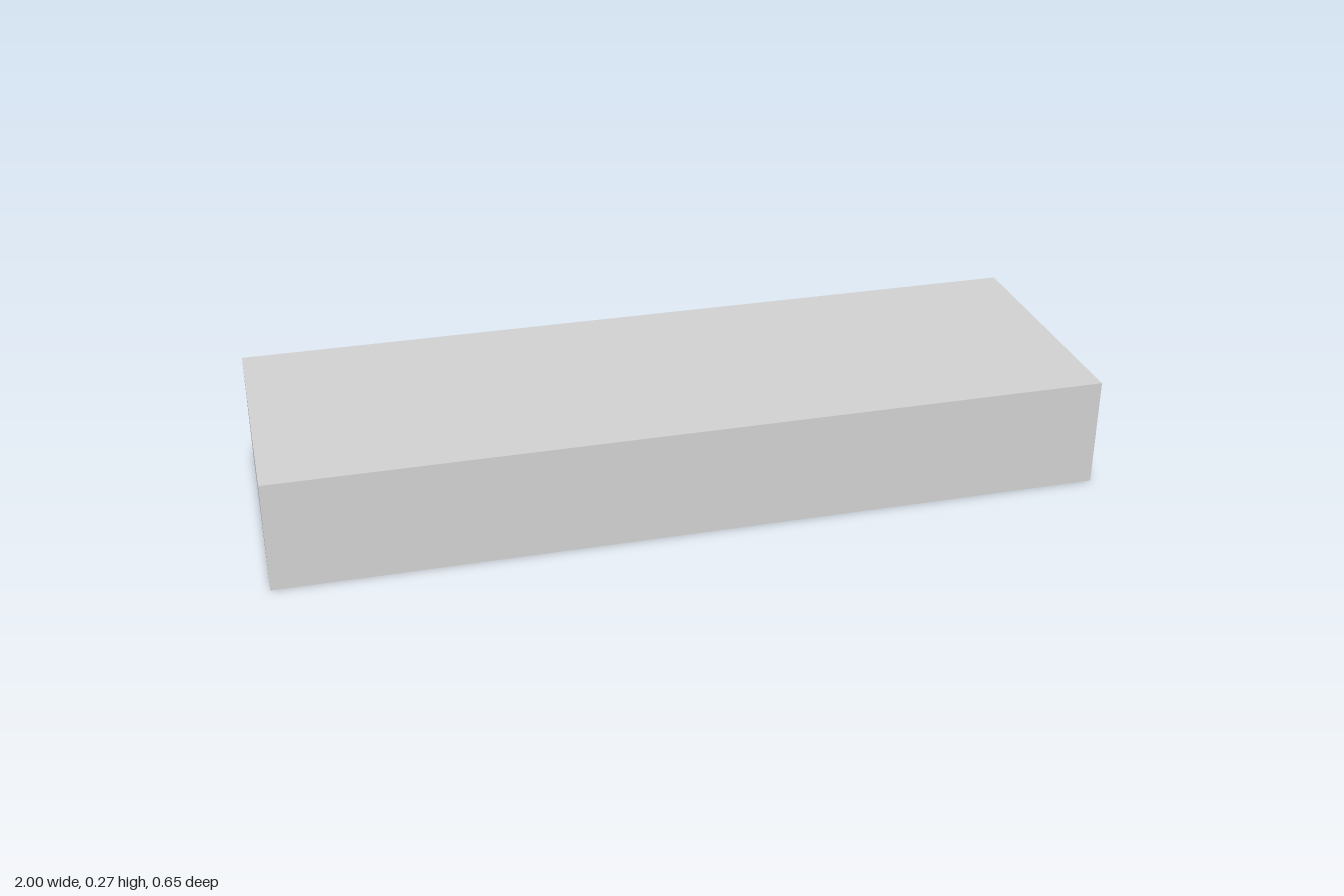
import * as THREE from 'three';

const LENGTH = 2, WIDTH = 0.655, HEIGHT = 0.27;
const WALL = 0.1, CAVITY = 0.182;

// Corners of a rectangle centred on the origin
function rectangle(w, d) {
  const x = w / 2, z = d / 2;
  return [[-x, -z], [x, -z], [x, z], [-x, z]].map(([a, b]) => new THREE.Vector2(a, b));
}

export function createModel() {
  const model = new THREE.Group();
  model.name = 'tile';
  const grey = new THREE.MeshStandardMaterial({ color: 0xd4d4d4 });
  grey.name = 'light grey';

  const add = (name, geometry, x, y) => {
    const mesh = new THREE.Mesh(geometry, grey);
    mesh.name = name;
    mesh.position.set(x, y, 0);
    model.add(mesh);
  };

  // Smooth slab forming the top and the ceiling of the cavity
  const thickness = HEIGHT - CAVITY;
  add('topPlate', new THREE.BoxGeometry(LENGTH, thickness, WIDTH), 0, HEIGHT - thickness / 2);

  // Rim around the open underside
  const outline = new THREE.Shape(rectangle(LENGTH, WIDTH));
  outline.holes.push(new THREE.Path(rectangle(LENGTH - 2 * WALL, WIDTH - 2 * WALL)));
  const rim = new THREE.ExtrudeGeometry(outline, { depth: CAVITY, bevelEnabled: false });
  rim.rotateX(-Math.PI / 2);
  add('rim', rim, 0, 0);

  // Two faceted pegs inside the cavity
  const peg = new THREE.CylinderGeometry(0.132, 0.132, CAVITY, 8, 1, false, Math.PI / 8).toNonIndexed();
  peg.computeVertexNormals();
  for (const side of [-1, 1]) {
    add(side > 0 ? 'leftPeg' : 'rightPeg', peg, side * 0.336, CAVITY / 2);
  }
  return model;
}
